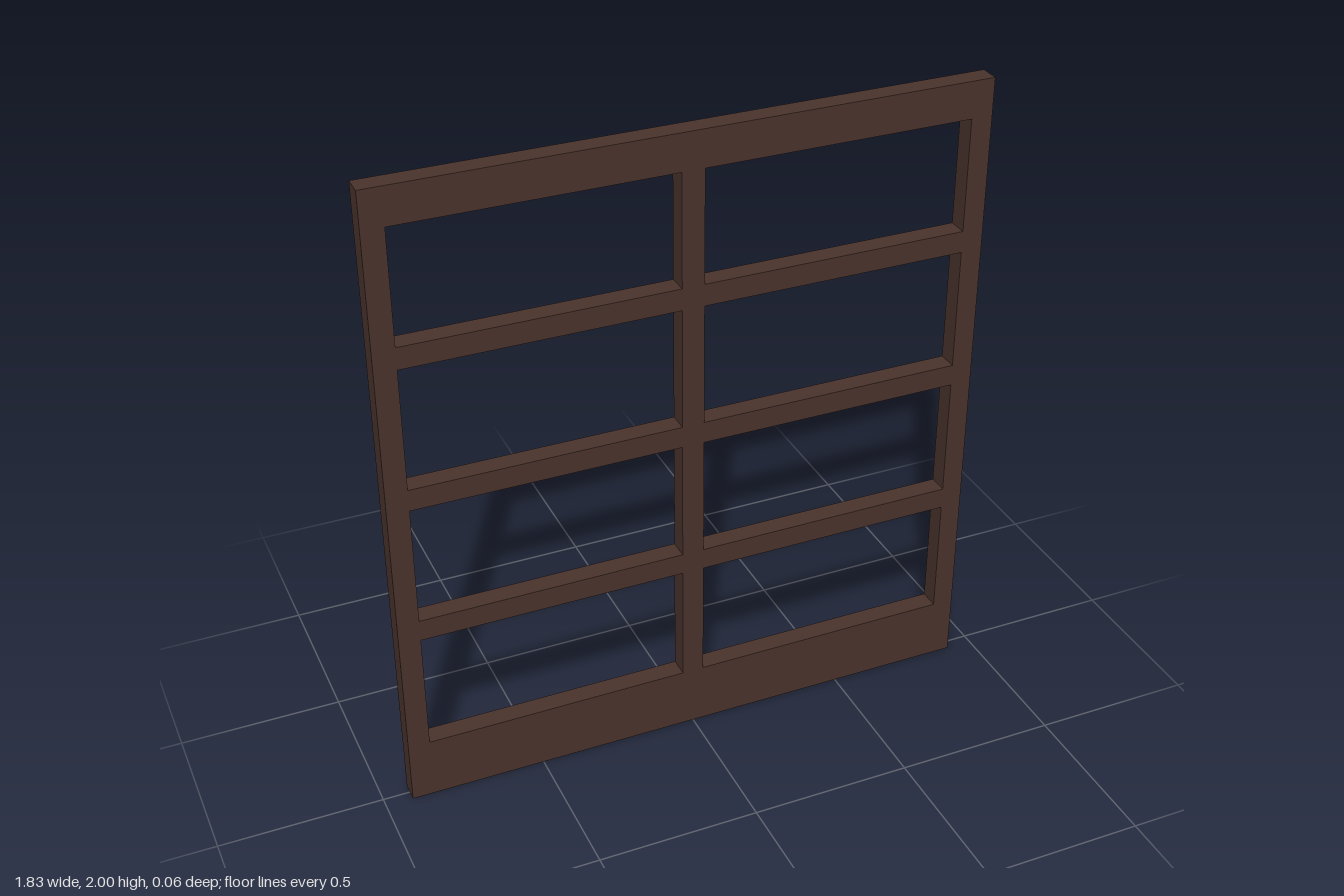
import * as THREE from 'three';

const HALF_W = 0.917, INNER = 0.851, MULLION = 0.034, DEPTH = 0.063;

export function createModel() {
  const group = new THREE.Group();
  group.name = 'windowFrame';
  const wood = new THREE.MeshStandardMaterial({ color: 0x4a332c });

  // One straight timber spanning x0..x1 and y0..y1
  const timber = (name, x0, x1, y0, y1) => {
    const mesh = new THREE.Mesh(new THREE.BoxGeometry(x1 - x0, y1 - y0, DEPTH), wood);
    mesh.position.set((x0 + x1) / 2, (y0 + y1) / 2, 0);
    mesh.name = name;
    group.add(mesh);
  };

  // Outer frame: side stiles with the rails fitted between them
  timber('rightStile', -HALF_W, -INNER, 0, 2);
  timber('leftStile', INNER, HALF_W, 0, 2);
  timber('bottomRail', -INNER, INNER, 0, 0.197);
  timber('topRail', -INNER, INNER, 1.886, 2);

  // Central upright
  timber('mullion', -MULLION, MULLION, 0.197, 1.886);

  // Glazing bars, butted against the upright on both sides
  [0.61, 1.056, 1.503].forEach((y, i) => {
    timber(`rightGlazingBar${i + 1}`, -INNER, -MULLION, y - 0.034, y + 0.034);
    timber(`leftGlazingBar${i + 1}`, MULLION, INNER, y - 0.034, y + 0.034);
  });

  return group;
}
